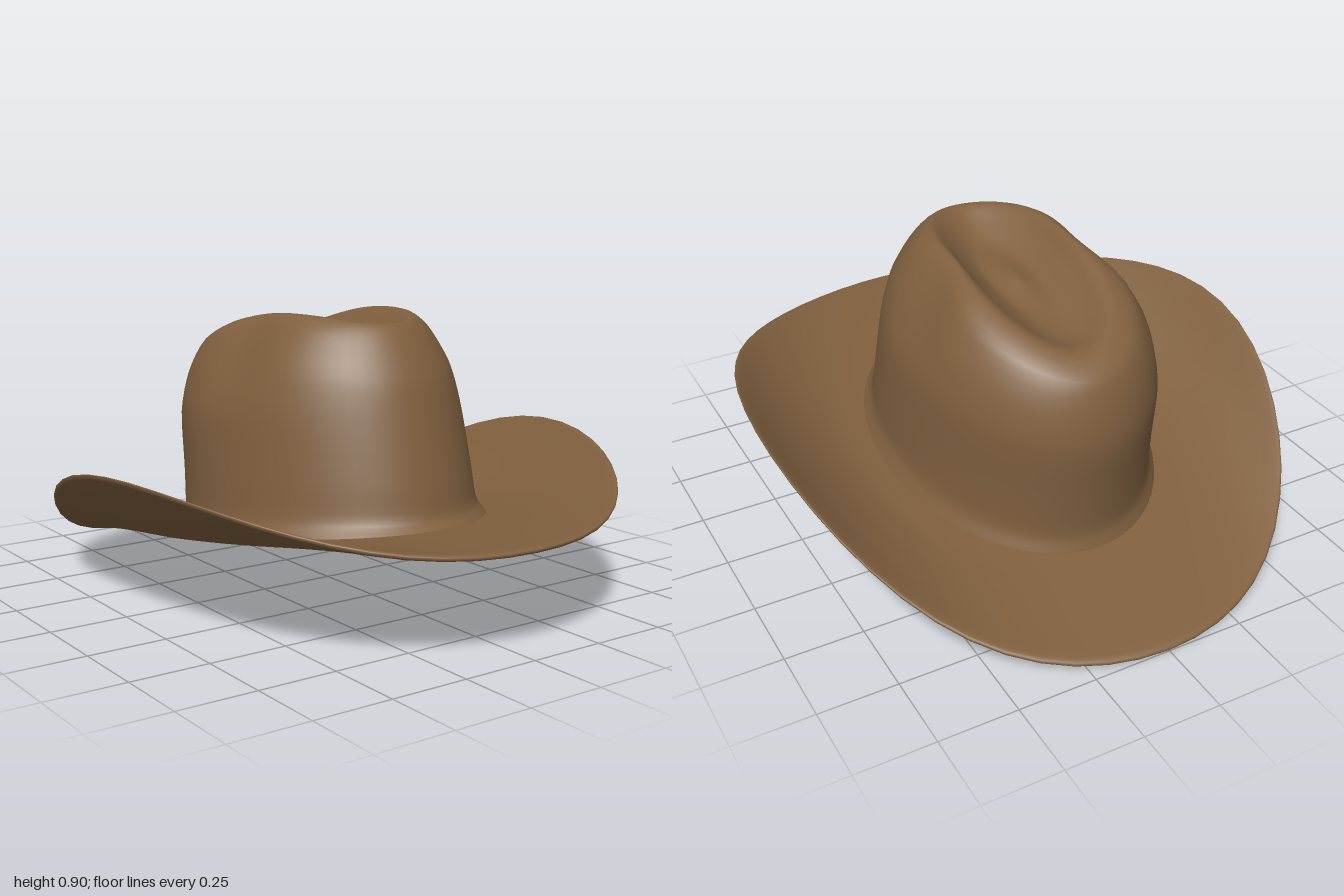
import * as THREE from 'three';
import { mergeVertices } from 'three/addons/utils/BufferGeometryUtils.js';

const SEG = 56;
const THICK = 0.018;
const CENTRE_Z = -0.035;

// Height of the tilted brim underside along z
const baseHeight = z => 0.2 + 0.155 * z - 0.04 * z * z;

// Crown rings, base to top: half width, front z/y, back z/y, side y, side pinch
const RINGS = [
  { rx: 0.45, zf: 0.6, yf: 0.3, zb: -0.6, yb: 0.11, ys: 0.22, pinch: 0 },
  { rx: 0.423, zf: 0.567, yf: 0.33, zb: -0.585, yb: 0.17, ys: 0.28, pinch: 0 },
  { rx: 0.412, zf: 0.545, yf: 0.43, zb: -0.6, yb: 0.31, ys: 0.41, pinch: 0 },
  { rx: 0.4, zf: 0.495, yf: 0.62, zb: -0.625, yb: 0.49, ys: 0.6, pinch: 0.03 },
  { rx: 0.365, zf: 0.46, yf: 0.73, zb: -0.61, yb: 0.61, ys: 0.74, pinch: 0.13 },
  { rx: 0.3, zf: 0.395, yf: 0.84, zb: -0.575, yb: 0.7, ys: 0.85, pinch: 0.17 },
  { rx: 0.22, zf: 0.345, yf: 0.888, zb: -0.49, yb: 0.755, ys: 0.892, pinch: 0.1 },
  { rx: 0.15, zf: 0.26, yf: 0.85, zb: -0.38, yb: 0.745, ys: 0.845, pinch: 0 },
  { rx: 0.08, zf: 0.14, yf: 0.81, zb: -0.24, yb: 0.76, ys: 0.795, pinch: 0 },
  { rx: 0, zf: -0.07, yf: 0.81, zb: -0.07, yb: 0.81, ys: 0.81, pinch: 0 },
];

function ringPoint(r, a) {
  const s = Math.sin(a), f = (1 + Math.cos(a)) / 2;
  const z = r.zb + (r.zf - r.zb) * f;
  const dent = 1 - r.pinch * Math.exp(-(((z + 0.04) / 0.17) ** 2));
  const y = r.yb + (r.yf - r.yb) * f + (r.ys - (r.yb + r.yf) / 2) * s * s;
  return new THREE.Vector3(r.rx * s * dent, y, z);
}

// Outside of the crown, from the middle of the top down to the brim
function crownProfile(a) {
  const pts = RINGS.map(r => ringPoint(r, a));
  pts[0].y = baseHeight(pts[0].z) + THICK;
  return pts.reverse();
}

// Inside of the crown, from the opening up to the middle of the top
function liningProfile(a) {
  const pts = RINGS.map(r => ringPoint(r, a));
  for (const p of pts) {
    p.x *= 0.96;
    p.z = CENTRE_Z + (p.z - CENTRE_Z) * 0.96;
    p.y -= THICK;
  }
  pts[0].y = baseHeight(pts[0].z);
  return pts;
}

// Brim section: out along the top, round the edge, back along the underside
function brimProfile(a) {
  const s = Math.sin(a), c = Math.cos(a);
  const curl = 0.255 * Math.pow(Math.abs(s), 3.3 - 0.6 * c);
  const edge = new THREE.Vector3(0.865 * s, 0, c);
  const at = (inner, t, up) => {
    const p = inner.clone().lerp(edge, t);
    p.y = baseHeight(p.z) + curl * Math.pow(t, 1.9) + up;
    return p;
  };
  const top = crownProfile(a).pop();
  const under = liningProfile(a)[0];
  const steps = [0, 0.25, 0.5, 0.75, 0.96];
  return [
    ...steps.map(t => at(top, t, THICK)),
    at(top, 1, 0.011),
    at(under, 0.995, 0.002),
    ...steps.reverse().map(t => at(under, t, 0)),
  ];
}

// Sweeps a profile once round the hat and skins it
function loft(profile, rows) {
  const pos = [], index = [];
  for (let j = 0; j < SEG; j++) {
    const pts = profile((j / SEG) * Math.PI * 2);
    const curve = new THREE.CatmullRomCurve3(pts, false, 'catmullrom', 0.4);
    for (let i = 0; i <= rows; i++) pos.push(...curve.getPoint(i / rows).toArray());
  }
  for (let j = 0; j < SEG; j++) {
    const k = (j + 1) % SEG;
    for (let i = 0; i < rows; i++) {
      const a = j * (rows + 1) + i, c = k * (rows + 1) + i;
      index.push(a, a + 1, c, a + 1, c + 1, c);
    }
  }
  let geo = new THREE.BufferGeometry();
  geo.setAttribute('position', new THREE.Float32BufferAttribute(pos, 3));
  geo.setIndex(index);
  geo = mergeVertices(geo, 1e-5);
  geo.computeVertexNormals();
  return geo;
}

export function createModel() {
  const felt = new THREE.MeshStandardMaterial({ color: 0x80603f, side: THREE.DoubleSide });
  felt.name = 'brown felt';

  const hat = new THREE.Group();
  hat.name = 'wideBrimmedHat';
  const parts = [
    ['crown', crownProfile, 36],
    ['crownLining', liningProfile, 27],
    ['brim', brimProfile, 33],
  ];
  for (const [name, profile, rows] of parts) {
    const mesh = new THREE.Mesh(loft(profile, rows), felt);
    mesh.name = name;
    hat.add(mesh);
  }
  return hat;
}
